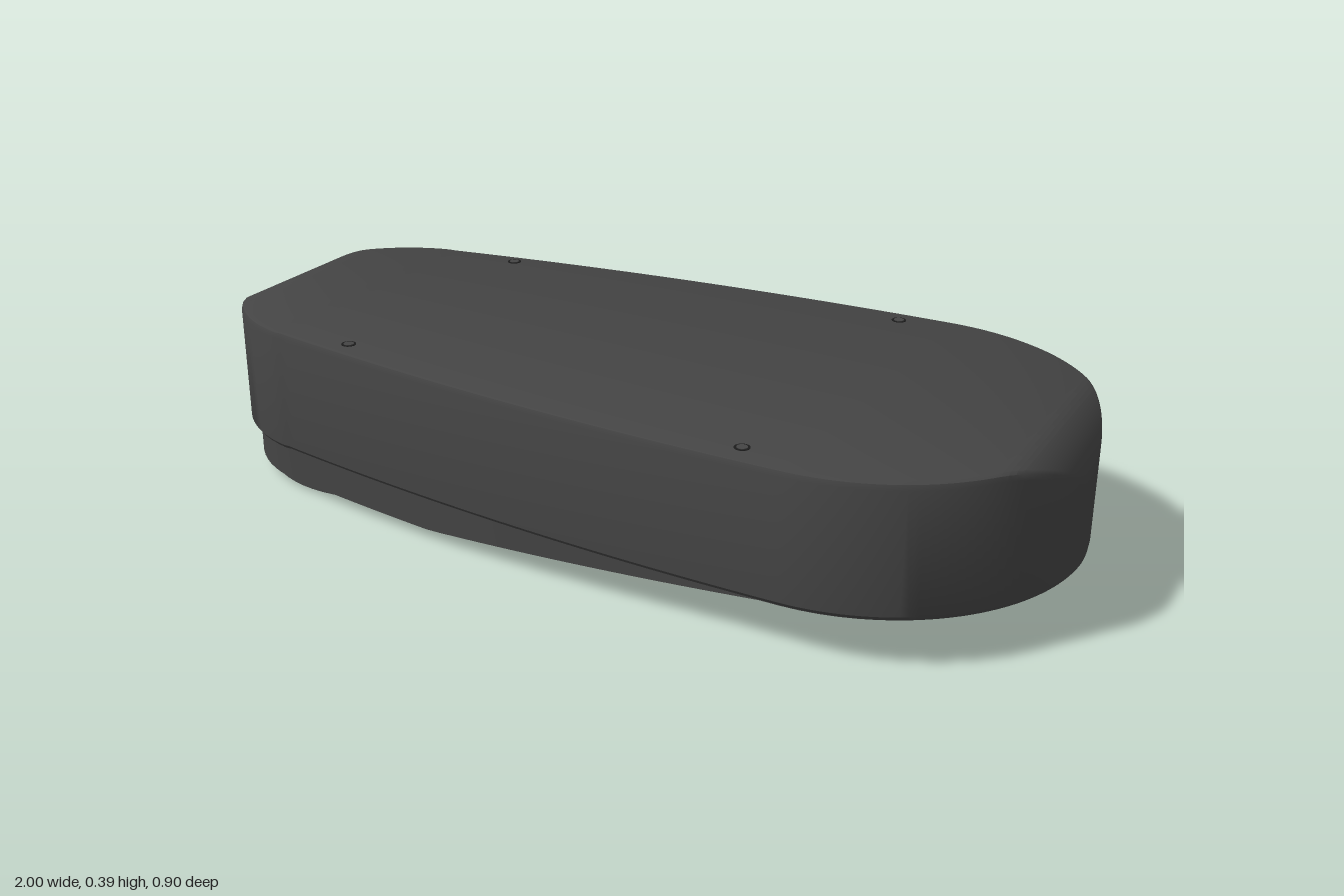
import * as THREE from 'three';
import { toCreasedNormals } from 'three/addons/utils/BufferGeometryUtils.js';

const BIG = 0.55, SMALL = -0.655;   // x of the two round ends
const UNDER = 0.107, TOP = 0.39;    // underside and top of the cover

const mat = new THREE.MeshStandardMaterial({ color: 0x444444, side: THREE.DoubleSide });
const darkMat = new THREE.MeshStandardMaterial({ color: 0x1c1c1c, side: THREE.DoubleSide });

// Half width of the plan outline at x, inset by d
function halfWidth(x, d = 0) {
  const arc = (c, r) => Math.sqrt(Math.max(0, r * r - (x - c) ** 2));
  if (x > BIG) return arc(BIG, 0.45 - d);
  if (x < -0.71) return arc(-0.65, 0.35 - d);
  return 0.45 - d - (x - 0.52) ** 2 / 14;
}

// One side of the outline, from x0 to x1, with points gathered at the ends
function side(x0, x1, d, n = 64) {
  return Array.from({ length: n + 1 }, (_, i) => {
    const x = (x0 + x1) / 2 - Math.cos((i / n) * Math.PI) * (x1 - x0) / 2;
    return new THREE.Vector2(x, halfWidth(x, d));
  });
}

const mirrored = (pts) => pts.map((p) => new THREE.Vector2(p.x, -p.y)).reverse();

function circleHole(x, r) {
  return new THREE.Path().absarc(x, 0, r, 0, Math.PI * 2, true);
}

// Extrude a plan shape, each vertex set between bottom(x) and top
function slab(shape, bottom, top) {
  const g = new THREE.ExtrudeGeometry(shape, { depth: 1, bevelEnabled: false, curveSegments: 64 });
  g.rotateX(-Math.PI / 2);
  const p = g.attributes.position;
  for (let i = 0; i < p.count; i++) {
    p.setY(i, p.getY(i) > 0.5 ? top : bottom(p.getX(i)));
  }
  return toCreasedNormals(g, 0.5);
}

function lathe(points, x) {
  const g = new THREE.LatheGeometry(points.map(([r, y]) => new THREE.Vector2(r, y)), 64);
  return toCreasedNormals(g.translate(x, 0, 0), 0.5);
}

// Shell from cross-sections along x; the ends roll over, the sides stay crisp
function coverGeometry() {
  const pos = [], index = [], n = 128, roll = 0.1;
  let m;
  for (let i = 0; i <= n; i++) {
    const x = -Math.cos((i / n) * Math.PI), w = halfWidth(x);
    const e = Math.max(0, roll - (1 - Math.abs(x)));
    const h = TOP - roll + Math.sqrt(roll * roll - e * e);
    const half = [[0.008, UNDER], [0, UNDER + 0.01], [0, h - 0.015], [0.0045, h - 0.0045], [0.015, h]]
      .map(([d, y]) => [Math.max(0, w - d), y]);
    const section = [...half, ...half.map(([z, y]) => [-z, y]).reverse()];
    m = section.length;
    section.forEach(([z, y]) => pos.push(x, y, z));
  }
  for (let i = 0; i < n; i++) {
    for (let j = 0; j < m - 1; j++) {
      const a = i * m + j, b = a + m;
      index.push(a, b, a + 1, b, b + 1, a + 1);
    }
  }
  const g = new THREE.BufferGeometry();
  g.setAttribute('position', new THREE.Float32BufferAttribute(pos, 3));
  g.setIndex(index);
  return toCreasedNormals(g, 0.6);
}

// Wedge under the small end: two rails around an open pocket
function wedgeShape() {
  const outer = side(-0.975, 0.59, 0.02);
  const inner = [];
  for (let i = 0; i <= 16; i++) {          // rails hug the large opening
    const a = 1.5 + (i / 16) * 0.98;
    inner.push(new THREE.Vector2(BIG + 0.388 * Math.cos(a), 0.388 * Math.sin(a)));
  }
  const corner = new THREE.QuadraticBezierCurve(
    new THREE.Vector2(-0.17, 0.275), new THREE.Vector2(-0.28, 0.265), new THREE.Vector2(-0.285, 0.16));
  // start of the arc needs trimming where it meets the tapering pocket side
  const edge = [...inner.filter((p) => p.y > 0.28), ...corner.getPoints(10)];
  const shape = new THREE.Shape([...outer, ...edge, ...mirrored(edge), ...mirrored(outer).slice(0, -1)]);
  shape.holes.push(circleHole(SMALL, 0.135));
  return shape;
}

export function createModel() {
  const model = new THREE.Group();
  const add = (name, geometry, material = mat, parent = model) => {
    const mesh = new THREE.Mesh(geometry, material);
    mesh.name = name;
    parent.add(mesh);
    return mesh;
  };

  add('cover', coverGeometry());

  // Underside plate with both openings
  const outline = side(-0.993, 0.993, 0.007);
  const plate = new THREE.Shape([...outline, ...mirrored(outline).slice(1, -1)]);
  plate.holes.push(circleHole(BIG, 0.385), circleHole(SMALL, 0.135));
  add('undersidePlate', slab(plate, () => UNDER, UNDER + 0.015));

  // Sloping wedge
  const slope = (x) => THREE.MathUtils.clamp(0.025 + (x + 0.3) * 0.092, 0.025, UNDER);
  add('wedgeBase', slab(wedgeShape(), slope, UNDER + 0.003));

  // Large recessed opening and small flanged bore
  add('largeOpening', lathe([[0.385, UNDER], [0.385, 0.123], [0.28, 0.123], [0.28, 0.29], [0, 0.29]], BIG));
  add('smallFlange', lathe([[0.225, 0.026], [0.225, 0], [0.305, 0], [0.305, 0.026]], SMALL));
  add('smallBore', lathe([[0.135, 0.025], [0.135, 0.12], [0.128, 0.12], [0.128, 0.28], [0, 0.28]], SMALL));

  // Bolt circles on the two flanges
  const bolts = new THREE.Group();
  bolts.name = 'flangeBolts';
  model.add(bolts);
  for (const [x, r, y] of [[BIG, 0.335, 0.123], [SMALL, 0.265, 0]]) {
    for (let i = 0; i < 16; i++) {
      const a = ((i + 0.5) / 16) * Math.PI * 2;
      const bolt = add('flangeBolt', new THREE.CylinderGeometry(0.007, 0.007, 0.004, 12), darkMat, bolts);
      bolt.position.set(x + r * Math.cos(a), y + 0.001, r * Math.sin(a));
    }
  }

  // Four cover screws
  for (const [x, z] of [[-0.53, 0.325], [0.445, 0.395]]) {
    for (const s of [1, -1]) {
      const screw = new THREE.Group();
      screw.name = 'coverScrew';
      screw.position.set(x, TOP, s * z);
      add('screwSeat', new THREE.CylinderGeometry(0.016, 0.016, 0.002, 24), darkMat, screw);
      add('screwHead', new THREE.CylinderGeometry(0.011, 0.011, 0.004, 24), mat, screw);
      model.add(screw);
    }
  }
  return model;
}
